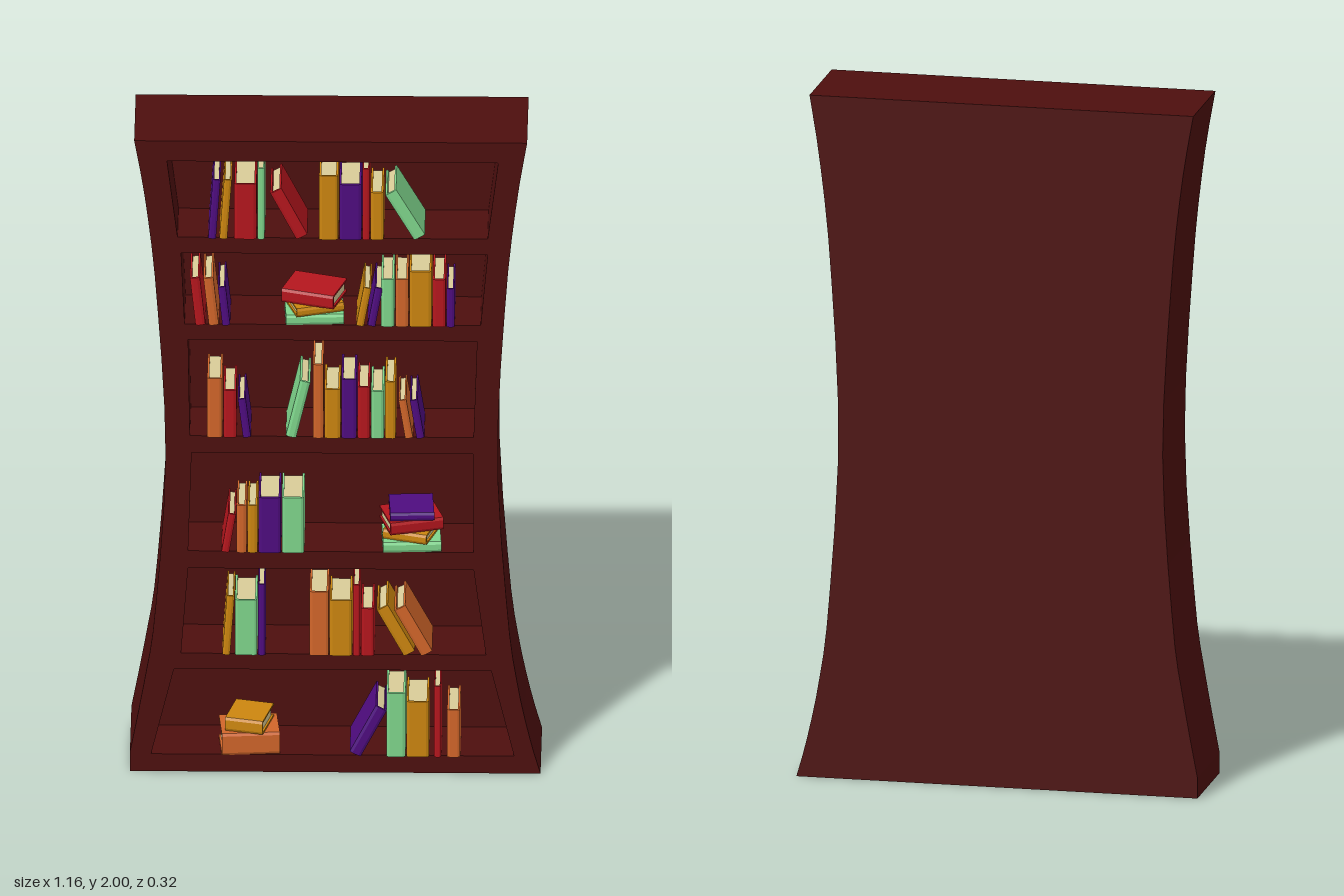
import * as THREE from 'three';

const mat = (color) => new THREE.MeshStandardMaterial({ color, flatShading: true });
const wood = mat(0x4d0f0e);
const paper = mat(0xd9cc98);
const covers = {
  red: mat(0xb5161d), orange: mat(0xd2662a), amber: mat(0xcc860f),
  green: mat(0x7fd68c), purple: mat(0x4f0c80),
};
const FRONT = 0.133, RECESS = -0.05, BACK = -0.16;

// Shelf openings: top y, left, right, then bottom y, left, right
const openings = [
  [1.936, -0.48, 0.46, 1.695, -0.45, 0.43],
  [1.645, -0.44, 0.43, 1.42, -0.43, 0.41],
  [1.37, -0.42, 0.4, 1.065, -0.415, 0.39],
  [1.012, -0.41, 0.39, 0.7, -0.42, 0.39],
  [0.645, -0.42, 0.39, 0.375, -0.44, 0.425],
  [0.325, -0.46, 0.44, 0.055, -0.525, 0.505],
];

// Book formats: thickness and height
const formats = {
  tall: [0.02, 0.225], slim: [0.022, 0.187], small: [0.022, 0.122], short: [0.028, 0.15],
  slender: [0.03, 0.18], tower: [0.03, 0.233], novel: [0.035, 0.163], mid: [0.037, 0.15],
  large: [0.043, 0.187], medium: [0.045, 0.155], big: [0.054, 0.202], thick: [0.063, 0.175],
};

// Runs of neighbouring books: shelf, left end, lean in degrees (+ = to +x), books
const runs = [
  [0, -0.363, 4, 'slim purple', 'slim amber'],
  [0, -0.289, 0, 'thick red', 'tall green'],
  [0, -0.115, -27, 'novel red'],
  [0, -0.048, 0, 'big amber', 'thick purple', 'tall red', 'mid amber'],
  [0, 0.219, -30, 'novel green'],
  [1, -0.399, -6, 'short red', 'short orange', 'small purple'],
  [1, 0.057, 10, 'small amber', 'small purple'],
  [1, 0.128, 0, 'mid green', 'mid orange', 'thick amber', 'mid red', 'small purple'],
  [2, -0.366, 0, 'large orange', 'mid red'],
  [2, -0.264, -7, 'small purple'],
  [2, -0.143, 13, 'slender green'],
  [2, -0.066, 0, 'tower orange', 'medium amber', 'large purple', 'novel red', 'mid green', 'slender amber'],
  [2, 0.196, -9, 'small orange', 'small purple'],
  [3, -0.325, 9, 'small red'],
  [3, -0.282, 0, 'short orange', 'short amber', 'thick purple', 'thick green'],
  [4, -0.323, 4, 'slim amber'],
  [4, -0.287, 0, 'thick green', 'tall purple'],
  [4, -0.075, 0, 'big orange', 'thick amber', 'tall red', 'mid red'],
  [4, 0.19, -28, 'novel amber', 'novel orange'],
  [5, 0.037, 27, 'novel purple'],
  [5, 0.143, 0, 'big green', 'thick amber'],
  [5, 0.278, 0, 'tall red'],
  [5, 0.315, 0, 'mid orange'],
];

// Lying stacks: shelf, centre x, books from the bottom up [thickness, length, yaw in degrees, colour]
const stacks = [
  [1, -0.063, [[0.032, 0.165, 3, 'green'], [0.027, 0.14, 18, 'amber'], [0.042, 0.155, -18, 'red']]],
  [3, 0.213, [[0.032, 0.165, 3, 'green'], [0.03, 0.13, -18, 'amber'], [0.038, 0.155, 16, 'red'], [0.025, 0.125, 3, 'purple']]],
  [5, -0.247, [[0.068, 0.165, 5, 'orange'], [0.042, 0.11, -14, 'amber']]],
];

// Book standing on its base centre, spine towards +z
function makeBook(w, h, d, color) {
  const book = new THREE.Group();
  book.name = 'book';
  const t = Math.min(0.006, w * 0.2), b = Math.min(0.008, w * 0.3), x = w / 2, y = d / 2;
  // U-shaped cover section with a bevelled spine
  const section = new THREE.Shape([
    [-x, y], [-x, -y + b / 2], [-x + b, -y], [x - b, -y], [x, -y + b / 2], [x, y],
    [x - t, y], [x - t, -y + b], [-x + t, -y + b], [-x + t, y],
  ].map(([px, py]) => new THREE.Vector2(px, py)));
  const coverGeo = new THREE.ExtrudeGeometry(section, { depth: h, bevelEnabled: false });
  coverGeo.rotateX(-Math.PI / 2);
  const cover = new THREE.Mesh(coverGeo, covers[color]);
  cover.name = 'bookCover';
  const pages = new THREE.Mesh(new THREE.BoxGeometry(w - 2 * t, h - 0.012, d - b - 0.006), paper);
  pages.name = 'bookPages';
  pages.position.set(0, h / 2, (0.006 - b) / 2);
  book.add(cover, pages);
  return book;
}

// Waisted outline of the case
function caseOutline() {
  const spline = (pts) => new THREE.SplineCurve(pts.map(([x, y]) => new THREE.Vector2(x, y))).getPoints(20);
  const right = spline([[0.58, 0], [0.55, 0.11], [0.515, 0.28], [0.487, 0.5], [0.458, 1],
    [0.481, 1.5], [0.511, 1.8], [0.542, 2]]);
  const left = spline([[-0.573, 2], [-0.54, 1.8], [-0.509, 1.5], [-0.484, 1],
    [-0.514, 0.5], [-0.545, 0.28], [-0.585, 0.06]]);
  return [...right, ...left, new THREE.Vector2(-0.585, 0)];
}

function extrudeZ(shape, z0, z1, name) {
  const geo = new THREE.ExtrudeGeometry(shape, { depth: z1 - z0, bevelEnabled: false });
  geo.translate(0, 0, z0);
  const mesh = new THREE.Mesh(geo, wood);
  mesh.name = name;
  return mesh;
}

export function createModel() {
  const model = new THREE.Group();
  model.name = 'bookcase';

  // Case: pierced front with shelves, solid back
  const frame = new THREE.Shape(caseOutline());
  for (const [ty, tl, tr, by, bl, br] of openings) {
    frame.holes.push(new THREE.Path([[tl, ty], [tr, ty], [br, by], [bl, by]].map(([x, y]) => new THREE.Vector2(x, y))));
  }
  model.add(extrudeZ(frame, RECESS, FRONT, 'shelfFrame'));
  model.add(extrudeZ(new THREE.Shape(caseOutline()), BACK, RECESS, 'backPanel'));

  // Standing and leaning books, placed side by side along each run
  for (const [shelf, start, lean, ...books] of runs) {
    const row = new THREE.Group();
    row.name = 'bookRow';
    row.position.y = openings[shelf][3];
    const a = THREE.MathUtils.degToRad(lean);
    let x = start;
    for (const entry of books) {
      const [format, color] = entry.split(' ');
      const [w, h] = formats[format];
      const book = makeBook(w, h, 0.16, color);
      book.rotation.z = -a;
      book.position.set(x + w / 2, Math.abs(Math.sin(a)) * w / 2, 0.064);
      row.add(book);
      x += w / Math.cos(a) + (lean ? 0.01 : 0.003);
    }
    model.add(row);
  }

  // Lying books
  for (const [shelf, x, books] of stacks) {
    const stack = new THREE.Group();
    stack.name = 'bookStack';
    stack.position.set(x, openings[shelf][3], 0.074);
    let y = 0;
    for (const [w, length, yaw, color] of books) {
      const book = makeBook(w, length, 0.125, color);
      book.rotation.z = Math.PI / 2;
      book.position.x = length / 2;
      const turn = new THREE.Group();
      turn.name = 'lyingBook';
      turn.position.y = y + w / 2;
      turn.rotation.y = THREE.MathUtils.degToRad(yaw);
      turn.add(book);
      stack.add(turn);
      y += w;
    }
    model.add(stack);
  }
  return model;
}
